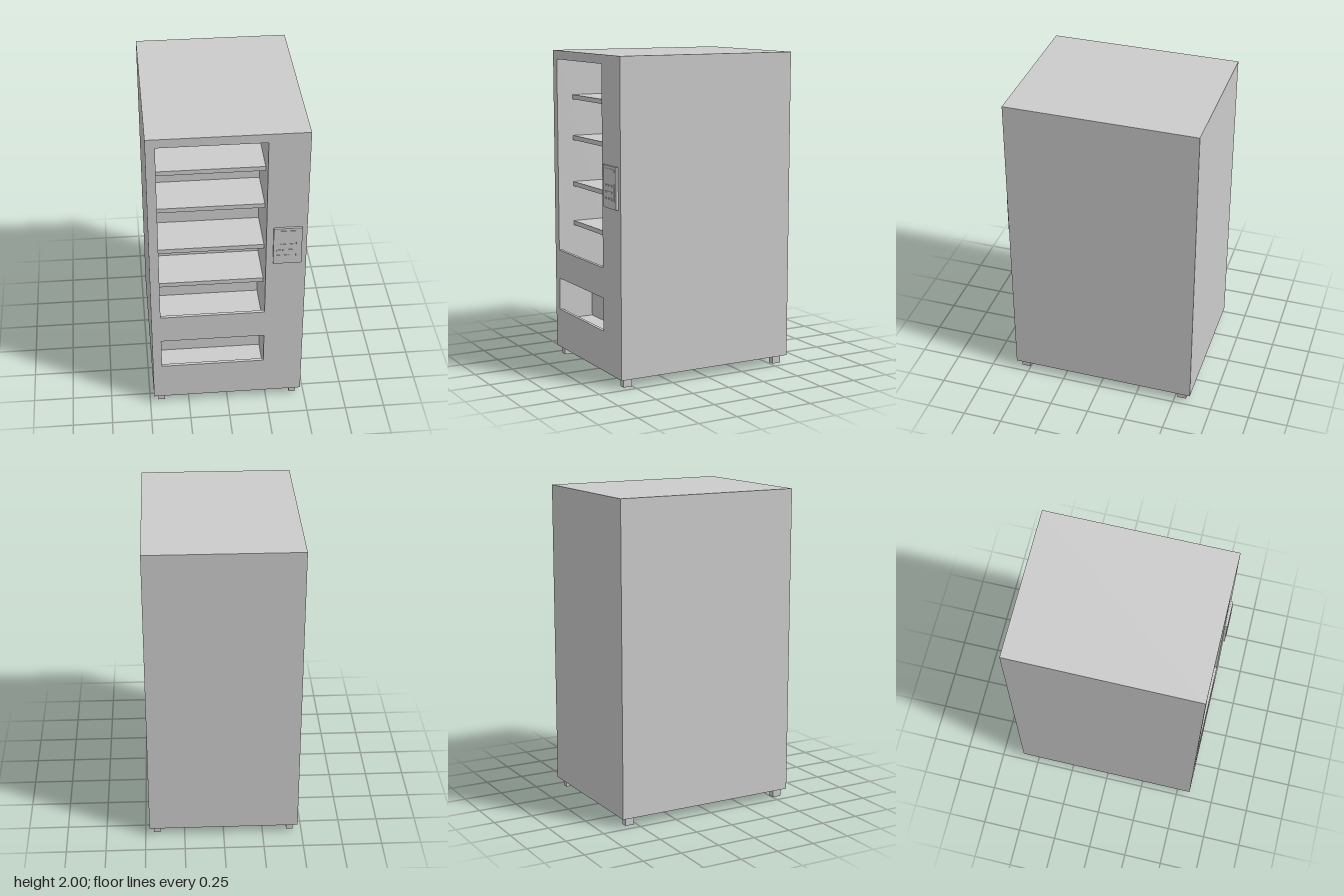
import * as THREE from 'three';

const grey = new THREE.MeshStandardMaterial({ color: 0xcccccc, flatShading: true });
const greyBoth = new THREE.MeshStandardMaterial({ color: 0xcccccc, flatShading: true, side: THREE.DoubleSide });

// Box given by its extents; faces listed in open (0..5 = +x -x +y -y +z -z) are left out
function block(name, [x0, x1], [y0, y1], [z0, z1], open = []) {
  const geo = new THREE.BoxGeometry(x1 - x0, y1 - y0, z1 - z0);
  if (open.length) {
    const index = Array.from(geo.index.array);
    geo.setIndex(index.filter((_, i) => !open.includes(Math.floor(i / 6))));
    geo.clearGroups();
  }
  geo.translate((x0 + x1) / 2, (y0 + y1) / 2, (z0 + z1) / 2);
  const mesh = new THREE.Mesh(geo, open.length ? greyBoth : grey);
  mesh.name = name;
  return mesh;
}

function rectangle(Type, [x0, x1], [y0, y1]) {
  const r = new Type();
  r.moveTo(x0, y0).lineTo(x1, y0).lineTo(x1, y1).lineTo(x0, y1).closePath();
  return r;
}

export function createModel() {
  const model = new THREE.Group();
  model.name = 'vendingMachine';

  const bodyX = [-0.475, 0.475], bodyY = [0.053, 2], front = 0.587, back = -0.605;
  const openX = [-0.418, 0.23], windowY = [0.704, 1.944], trayY = [0.307, 0.515];
  const lip = front - 0.02;

  // Cabinet shell and front face with two openings
  model.add(block('cabinet', bodyX, bodyY, [back, front], [4]));
  const face = rectangle(THREE.Shape, bodyX, bodyY);
  face.holes.push(rectangle(THREE.Path, openX, windowY), rectangle(THREE.Path, openX, trayY));
  const facePanel = new THREE.Mesh(new THREE.ShapeGeometry(face), greyBoth);
  facePanel.position.z = front;
  facePanel.name = 'frontFace';
  model.add(facePanel);

  // Rims of the openings, with deeper compartments behind them
  model.add(block('windowRim', openX, windowY, [lip, front], [4, 5]));
  model.add(block('displayCompartment', openX, [0.567, windowY[1]], [0.194, lip], [4]));
  model.add(block('trayRim', openX, trayY, [lip, front], [4, 5]));
  model.add(block('pickupTray', openX, [0.24, trayY[1]], [0.354, lip], [4]));

  // Shelves
  for (const top of [1.714, 1.45, 1.148, 0.89])
    model.add(block('shelf', openX, [top - 0.029, top], [0.194, 0.479]));

  // Payment panel with display, buttons and coin slot
  const panel = new THREE.Group();
  panel.name = 'paymentPanel';
  const raised = [0.602, 0.605];
  panel.add(block('panelPlate', [0.272, 0.444], [1.09, 1.347], [front, 0.602]));
  panel.add(block('display', [0.292, 0.424], [1.312, 1.33], raised));
  panel.add(block('coinSlot', [0.408, 0.422], [1.135, 1.245], raised));
  for (let row = 0; row < 3; row++)
    for (let col = 0; col < 3; col++) {
      const x = 0.292 + col * 0.036, y = 1.222 - row * 0.04;
      panel.add(block('button', [x, x + 0.026], [y, y + 0.012], raised));
    }
  model.add(panel);

  // Feet
  for (const x of [-0.426, 0.426])
    for (const z of [0.532, -0.545])
      model.add(block('foot', [x - 0.021, x + 0.021], [0, 0.053], [z - 0.029, z + 0.029]));

  return model;
}
